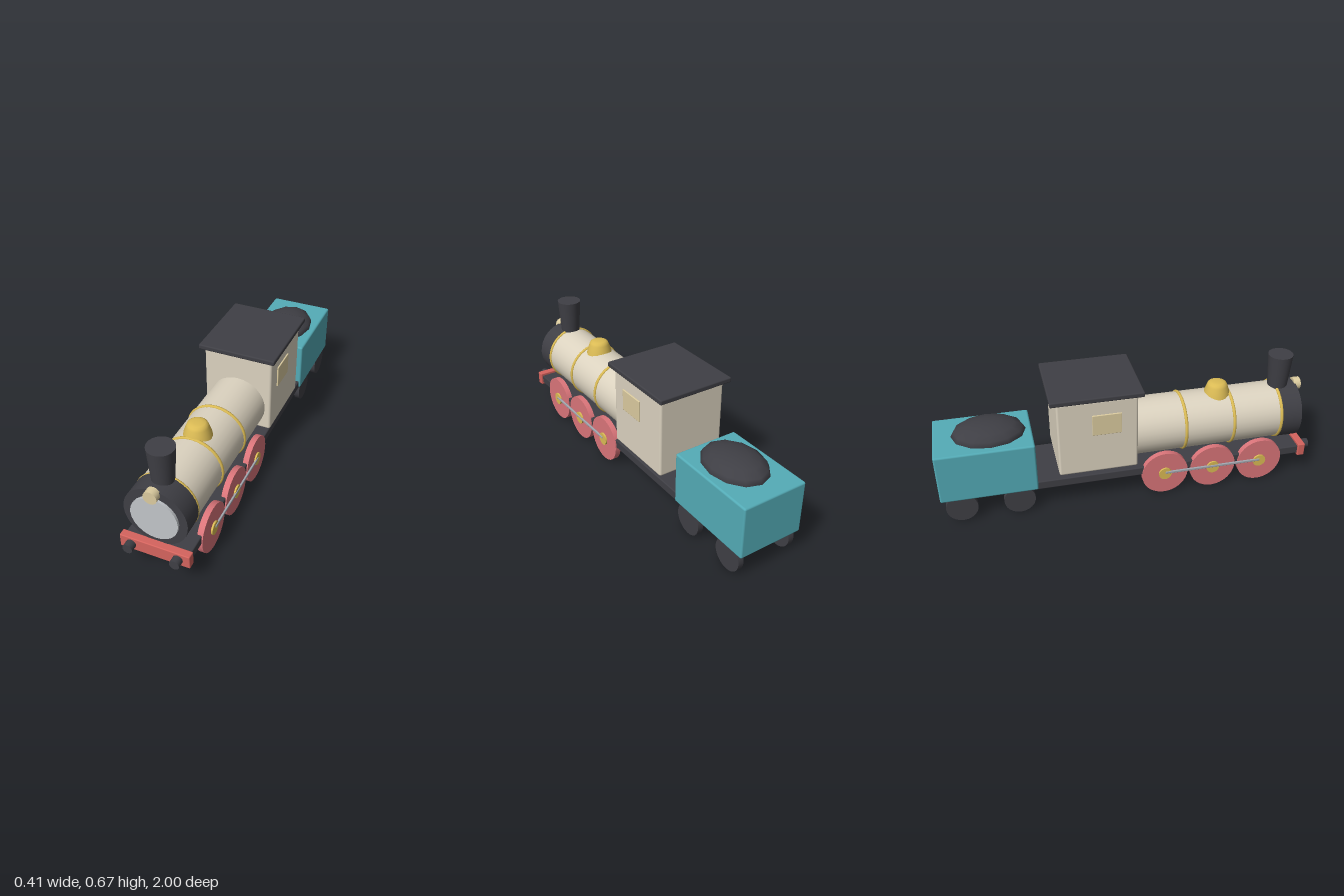
import * as THREE from 'three';
import { RoundedBoxGeometry } from 'three/addons/geometries/RoundedBoxGeometry.js';

const COLORS = {
  cream: 0xdcd3c0, dark: 0x3f3f45, gold: 0xdcbc55, pale: 0xdccca0, red: 0xd5645e,
  pink: 0xdb757a, teal: 0x54acb7, silver: 0xc2c6ca, steel: 0xa4a8b0,
};

export function createModel() {
  const model = new THREE.Group();
  model.name = 'steamTrain';
  const mats = {};
  for (const key in COLORS) mats[key] = new THREE.MeshStandardMaterial({ color: COLORS[key] });

  function add(name, geometry, color, x = 0, y = 0, z = 0) {
    const mesh = new THREE.Mesh(geometry, mats[color]);
    mesh.name = name;
    mesh.position.set(x, y, z);
    model.add(mesh);
    return mesh;
  }
  // Box given by its extents, with softened edges
  function box(name, color, [x0, x1], [y0, y1], [z0, z1], r = 0.006) {
    return add(name, new RoundedBoxGeometry(x1 - x0, y1 - y0, z1 - z0, 2, r), color,
      (x0 + x1) / 2, (y0 + y1) / 2, (z0 + z1) / 2);
  }
  // Cylinder lying along z, from z0 to z1
  function barrel(name, color, r, x, y, z0, z1, sides = 32) {
    const g = new THREE.CylinderGeometry(r, r, z1 - z0, sides).rotateX(Math.PI / 2);
    return add(name, g, color, x, y, (z0 + z1) / 2);
  }
  // Disc with its axle along x
  function disc(name, color, r, width, x, y, z, sides = 32) {
    return add(name, new THREE.CylinderGeometry(r, r, width, sides).rotateZ(Math.PI / 2), color, x, y, z);
  }

  // Chassis and buffer beam
  box('chassis', 'dark', [-0.166, 0.166], [0.13, 0.178], [-0.52, 0.94]);
  box('bufferBeam', 'red', [-0.177, 0.177], [0.12, 0.192], [0.923, 0.963], 0.005);

  // Boiler, smokebox and bands
  const axisY = 0.341;
  barrel('boiler', 'cream', 0.153, 0, axisY, -0.02, 0.83);
  barrel('smokebox', 'dark', 0.159, 0, axisY, 0.82, 0.927);
  barrel('smokeboxDoor', 'silver', 0.118, 0, axisY, 0.92, 0.94, 24);
  barrel('headlamp', 'pale', 0.034, 0, 0.482, 0.92, 0.958, 20);
  for (const z of [0.815, 0.55, 0.287])
    add('boilerBand', new THREE.TorusGeometry(0.152, 0.009, 8, 40), 'gold', 0, axisY, z);

  // Chimney and steam dome
  add('chimney', new THREE.CylinderGeometry(0.066, 0.049, 0.233, 24), 'dark', 0, 0.5565, 0.833);
  const domeProfile = [[0.076, 0.455], [0.067, 0.495], [0.055, 0.53], [0.049, 0.543],
    [0.038, 0.55], [0.02, 0.553], [0, 0.553]].map(([r, y]) => new THREE.Vector2(r, y));
  add('steamDome', new THREE.LatheGeometry(domeProfile, 28), 'gold', 0, 0, 0.49);

  // Cab
  box('cab', 'cream', [-0.184, 0.184], [0.211, 0.634], [-0.392, 0.018], 0.012);
  box('cabRoof', 'dark', [-0.206, 0.206], [0.637, 0.664], [-0.424, 0.046], 0.007);

  // Tender with its heap of coal
  box('tender', 'teal', [-0.175, 0.175], [0.135, 0.412], [-1, -0.503], 0.01);
  const coal = add('coal', new THREE.SphereGeometry(1, 12, 8), 'dark', 0, 0.41, -0.72);
  coal.scale.set(0.143, 0.069, 0.19);

  // Parts on both sides
  for (const s of [-1, 1]) {
    barrel('buffer', 'dark', 0.025, s * 0.118, 0.157, 0.95, 1, 20);
    box('cabWindow', 'pale', [s * 0.183 - 0.008, s * 0.183 + 0.008], [0.438, 0.554], [-0.217, -0.067], 0.003);
    for (const z of [0.7, 0.435, 0.17]) {
      disc('drivingWheel', 'pink', 0.125, 0.03, s * 0.157, 0.126, z);
      disc('wheelHub', 'gold', 0.035, 0.03, s * 0.166, 0.126, z, 20);
    }
    box('couplingRod', 'steel', [s * 0.18 - 0.005, s * 0.18 + 0.005], [0.127, 0.141], [0.17, 0.7], 0.003);
    for (const z of [-0.603, -0.897])
      disc('tenderWheel', 'dark', 0.081, 0.03, s * 0.15, 0.082, z, 24);
  }
  return model;
}
